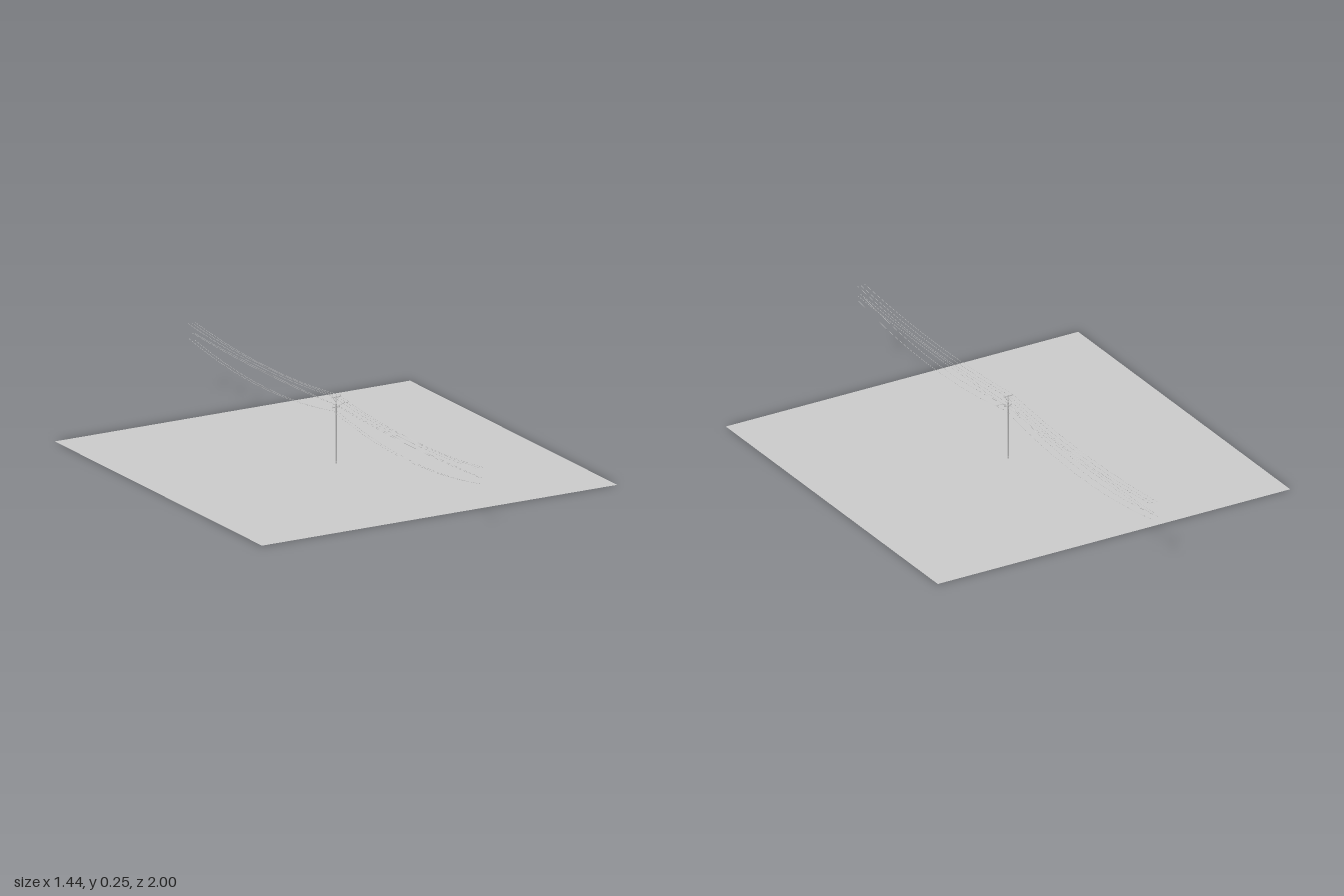
import * as THREE from 'three';

export function createModel() {
  const model = new THREE.Group();
  const grey = new THREE.MeshStandardMaterial({ color: 0xcccccc });
  const sheet = new THREE.MeshStandardMaterial({ color: 0xcccccc, side: THREE.DoubleSide });

  const add = (name, geometry, x = 0, y = 0, z = 0, material = grey) => {
    const mesh = new THREE.Mesh(geometry, material);
    mesh.name = name;
    mesh.position.set(x, y, z);
    model.add(mesh);
    return mesh;
  };

  // Flat ground sheet
  add('ground', new THREE.PlaneGeometry(1.44, 1.44).rotateX(-Math.PI / 2), 0, 0, 0, sheet);

  // Tapered pole with a short collar at its foot
  add('pole', new THREE.CylinderGeometry(0.0025, 0.0035, 0.248, 12), 0, 0.124, 0);
  add('poleFoot', new THREE.CylinderGeometry(0.0042, 0.0042, 0.006, 12), 0, 0.003, 0);

  // Crossarms with insulators at the ends
  for (const [y, half] of [[0.242, 0.018], [0.205, 0.015]]) {
    add('crossarm', new THREE.BoxGeometry(half * 2, 0.003, 0.003), 0, y, 0);
    for (const side of [-1, 1]) {
      add('insulator', new THREE.CylinderGeometry(0.001, 0.0018, 0.006, 8),
        side * (half - 0.002), y + 0.0045, 0);
    }
  }

  // Diagonal braces under the top crossarm
  for (const side of [-1, 1]) {
    const path = new THREE.LineCurve3(
      new THREE.Vector3(side * 0.013, 0.241, 0), new THREE.Vector3(0, 0.222, 0));
    add('brace', new THREE.TubeGeometry(path, 1, 0.0008, 6));
  }

  // Curved lamp bracket and lamp head
  const bracket = new THREE.QuadraticBezierCurve3(
    new THREE.Vector3(0, 0.2, 0), new THREE.Vector3(0.018, 0.216, 0),
    new THREE.Vector3(0.04, 0.217, 0));
  add('lampBracket', new THREE.TubeGeometry(bracket, 12, 0.0009, 6));
  add('lampHead', new THREE.SphereGeometry(1, 12, 8).scale(0.007, 0.0016, 0.0025), 0.043, 0.217, 0);

  // Sagging wires, one span each way: x, height at the pole, sag
  const wires = [
    [-0.016, 0.248, 0.025], [0.013, 0.248, 0.03], [0, 0.247, 0.025],
    [0, 0.212, 0.013], [0.011, 0.208, 0.01],
    [-0.014, 0.194, 0.045], [0.008, 0.187, 0.045],
  ];
  for (const [x, y, sag] of wires) {
    for (const side of [-1, 1]) {
      const points = [];
      for (let i = 0; i <= 12; i++) {
        const t = i / 12;
        points.push(new THREE.Vector3(x, y - 4 * sag * t * (1 - t), side * t));
      }
      add('wire', new THREE.TubeGeometry(new THREE.CatmullRomCurve3(points), 24, 0.0005, 5));
    }
  }
  return model;
}
